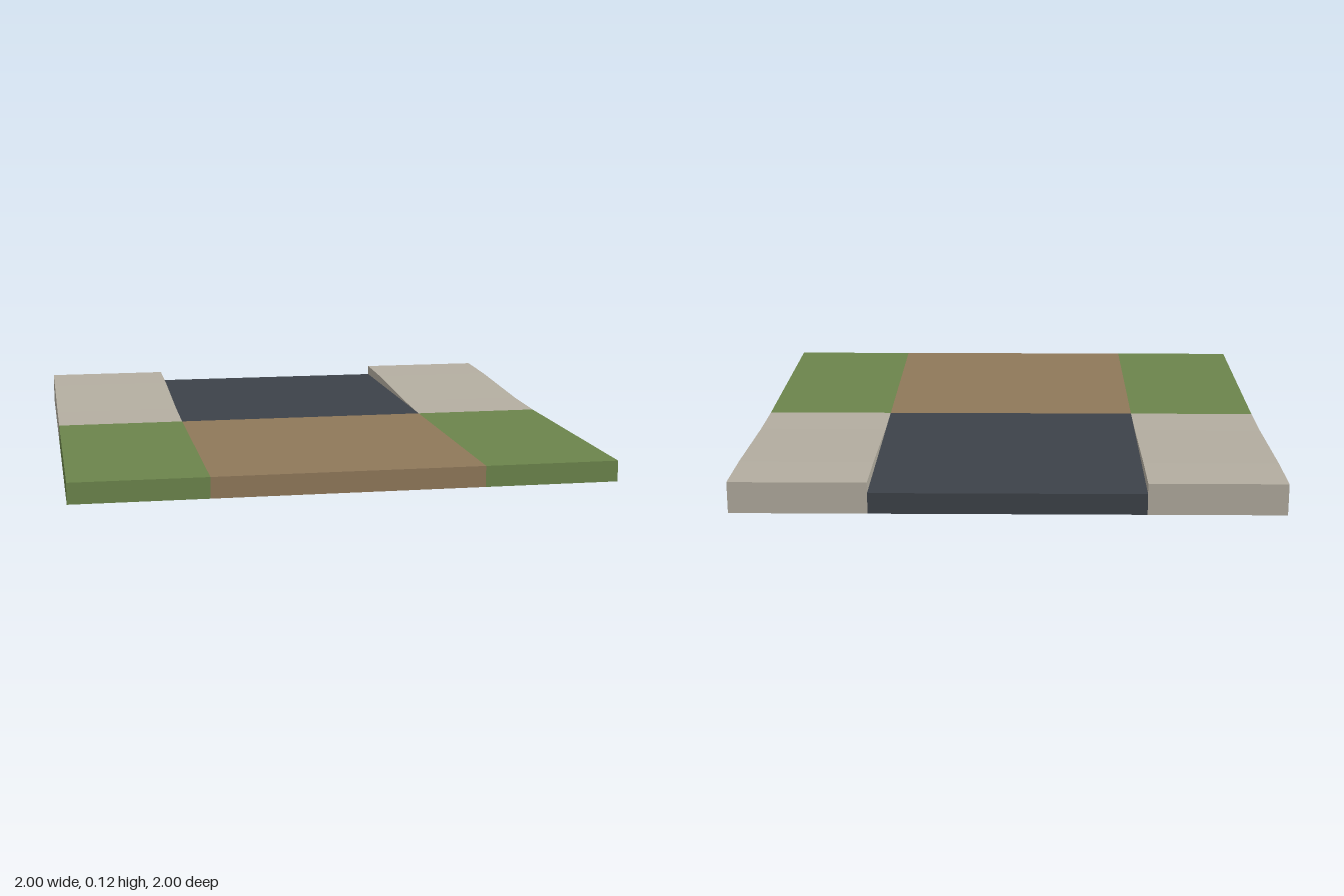
import * as THREE from 'three';

const LOW = 0.078, HIGH = 0.117;

function material(name, color) {
  const m = new THREE.MeshStandardMaterial({ color, side: THREE.DoubleSide, flatShading: true });
  m.name = name;
  return m;
}

// Hollow tile, open below: a top following [z, y] points from front to back, plus chosen walls
function tile(name, x0, x1, profile, mat, walls) {
  const pos = [];
  const quad = (a, b, c, d) => pos.push(...a, ...b, ...c, ...a, ...c, ...d);
  for (let i = 0; i < profile.length - 1; i++) {
    const [z0, y0] = profile[i], [z1, y1] = profile[i + 1];
    quad([x0, y0, z0], [x1, y0, z0], [x1, y1, z1], [x0, y1, z1]);
    if (walls.sides) {
      quad([x1, 0, z0], [x1, 0, z1], [x1, y1, z1], [x1, y0, z0]);
      quad([x0, 0, z1], [x0, 0, z0], [x0, y0, z0], [x0, y1, z1]);
    }
  }
  const [zf, yf] = profile[0], [zb, yb] = profile[profile.length - 1];
  if (walls.front) quad([x0, 0, zf], [x1, 0, zf], [x1, yf, zf], [x0, yf, zf]);
  if (walls.back) quad([x1, 0, zb], [x0, 0, zb], [x0, yb, zb], [x1, yb, zb]);

  const geo = new THREE.BufferGeometry();
  geo.setAttribute('position', new THREE.Float32BufferAttribute(pos, 3));
  geo.computeVertexNormals();
  const mesh = new THREE.Mesh(geo, mat);
  mesh.name = name;
  return mesh;
}

export function createModel() {
  const group = new THREE.Group();
  group.name = 'roadTransitionTile';
  const grass = material('grass green', 0x6b844b);
  const dirt = material('dirt brown', 0x8f7859);
  const asphalt = material('asphalt slate', 0x3d4249);
  const concrete = material('concrete grey', 0xb3ada0);

  // Pavement ramp eases up towards the back
  const ramp = [];
  for (let i = 0; i <= 4; i++) {
    const t = i / 4;
    ramp.push([-t, LOW + (HIGH - LOW) * t * t * (3 - 2 * t)]);
  }
  const frontFlat = [[1, LOW], [0, LOW]];
  const backFlat = [[0, LOW], [-1, LOW]];

  // Central road: dirt in front, asphalt behind
  group.add(tile('dirtRoad', -0.5, 0.5, frontFlat, dirt, { front: true }));
  group.add(tile('asphaltRoad', -0.5, 0.5, backFlat, asphalt, { front: true, back: true }));

  // Verges and pavements on both sides
  for (const [side, x0, x1] of [['left', 0.5, 1], ['right', -1, -0.5]]) {
    group.add(tile(side + 'GrassVerge', x0, x1, frontFlat, grass, { front: true, sides: true }));
    group.add(tile(side + 'Pavement', x0, x1, ramp, concrete, { front: true, back: true, sides: true }));
  }
  return group;
}
